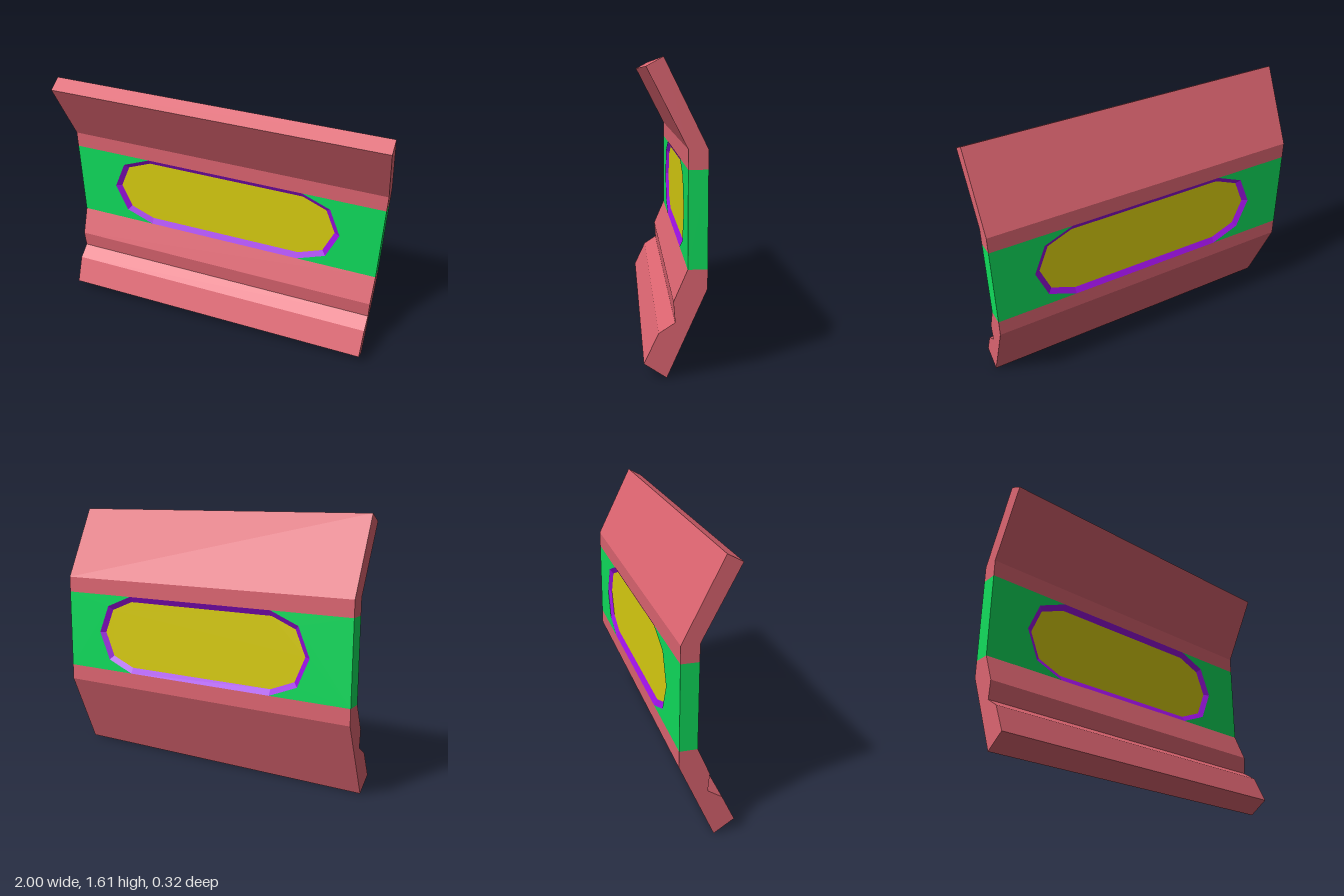
import * as THREE from 'three';

const material = (color) => new THREE.MeshStandardMaterial({ color, flatShading: true });
const red = material(0xdb6470), green = material(0x0fdc5c);
const purple = material(0x9a10e0), yellow = material(0xd8cc10);

const FRONT = -0.06, BACK = -0.16, MID = (FRONT + BACK) / 2;
const BOTTOM = 0.563, TOP = 1.063, CENTRE = (BOTTOM + TOP) / 2;

function add(parent, name, geometry, mat) {
  const mesh = new THREE.Mesh(geometry, mat);
  mesh.name = name;
  parent.add(mesh);
  return mesh;
}

// Extrudes a [z, y] outline along the whole width
function beam(profile) {
  const shape = new THREE.Shape(profile.map(([z, y]) => new THREE.Vector2(-z, y)));
  return new THREE.ExtrudeGeometry(shape, { depth: 2, bevelEnabled: false })
    .rotateY(Math.PI / 2).translate(-1, 0, 0);
}

// Half-octagon end of the window, bottom to top, on the +x side
function windowEnd(radius) {
  return Array.from({ length: 5 }, (_, i) => {
    const a = -Math.PI / 2 + (i * Math.PI) / 4;
    return new THREE.Vector2(0.5 + radius * Math.cos(a), CENTRE + radius * Math.sin(a));
  });
}

// Full counter-clockwise window outline
function windowOutline(radius) {
  const end = windowEnd(radius);
  const other = end.map((p) => new THREE.Vector2(-p.x, p.y)).reverse();
  return [...end, ...other];
}

// Sloping ring between the outer and the recessed inner outline
function bevelRing(outer, inner, zOuter, zInner) {
  const positions = [];
  outer.forEach((o, i) => {
    const j = (i + 1) % outer.length;
    const a = [o.x, o.y, zOuter], b = [outer[j].x, outer[j].y, zOuter];
    const c = [inner[j].x, inner[j].y, zInner], d = [inner[i].x, inner[i].y, zInner];
    positions.push(...a, ...b, ...c, ...a, ...c, ...d);
  });
  const geometry = new THREE.BufferGeometry();
  geometry.setAttribute('position', new THREE.Float32BufferAttribute(positions, 3));
  geometry.computeVertexNormals();
  return geometry;
}

export function createModel() {
  const model = new THREE.Group();
  model.name = 'windowWallPanel';

  // Upper wall, leaning forward
  add(model, 'upperWall', beam([
    [FRONT, TOP], [FRONT, 1.162], [0.145, 1.56], [0.06, 1.606], [BACK, 1.162], [BACK, TOP],
  ]), red);

  // Lower wall with the notch and the foot
  add(model, 'lowerWall', beam([
    [BACK, BOTTOM], [BACK, 0.464], [0.044, 0], [0.16, 0.077], [0.085, 0.236],
    [0.002, 0.29], [0.011, 0.398], [FRONT, BOTTOM],
  ]), red);

  // Wall sections beside the window
  const half = 0.5 * (FRONT - BACK);
  const section = new THREE.Shape([
    ...windowEnd(0.25).reverse(), new THREE.Vector2(1, BOTTOM), new THREE.Vector2(1, TOP),
  ]);
  for (const [name, turn] of [['leftSection', 0], ['rightSection', Math.PI]]) {
    const geometry = new THREE.ExtrudeGeometry(section, { depth: 2 * half, bevelEnabled: false });
    geometry.translate(0, 0, -half).rotateY(turn).translate(0, 0, MID);
    add(model, name, geometry, green);
  }

  // Recessed frame and pane, once for each face of the wall
  const outer = windowOutline(0.25), inner = windowOutline(0.215);
  for (const [name, turn] of [['frontWindow', 0], ['backWindow', Math.PI]]) {
    const side = new THREE.Group();
    side.name = name;
    side.position.z = MID;
    side.rotation.y = turn;
    add(side, 'windowFrame', bevelRing(outer, inner, half, half - 0.02), purple);
    add(side, 'windowPane', new THREE.ShapeGeometry(new THREE.Shape(inner)), yellow)
      .position.z = half - 0.02;
    model.add(side);
  }
  return model;
}
